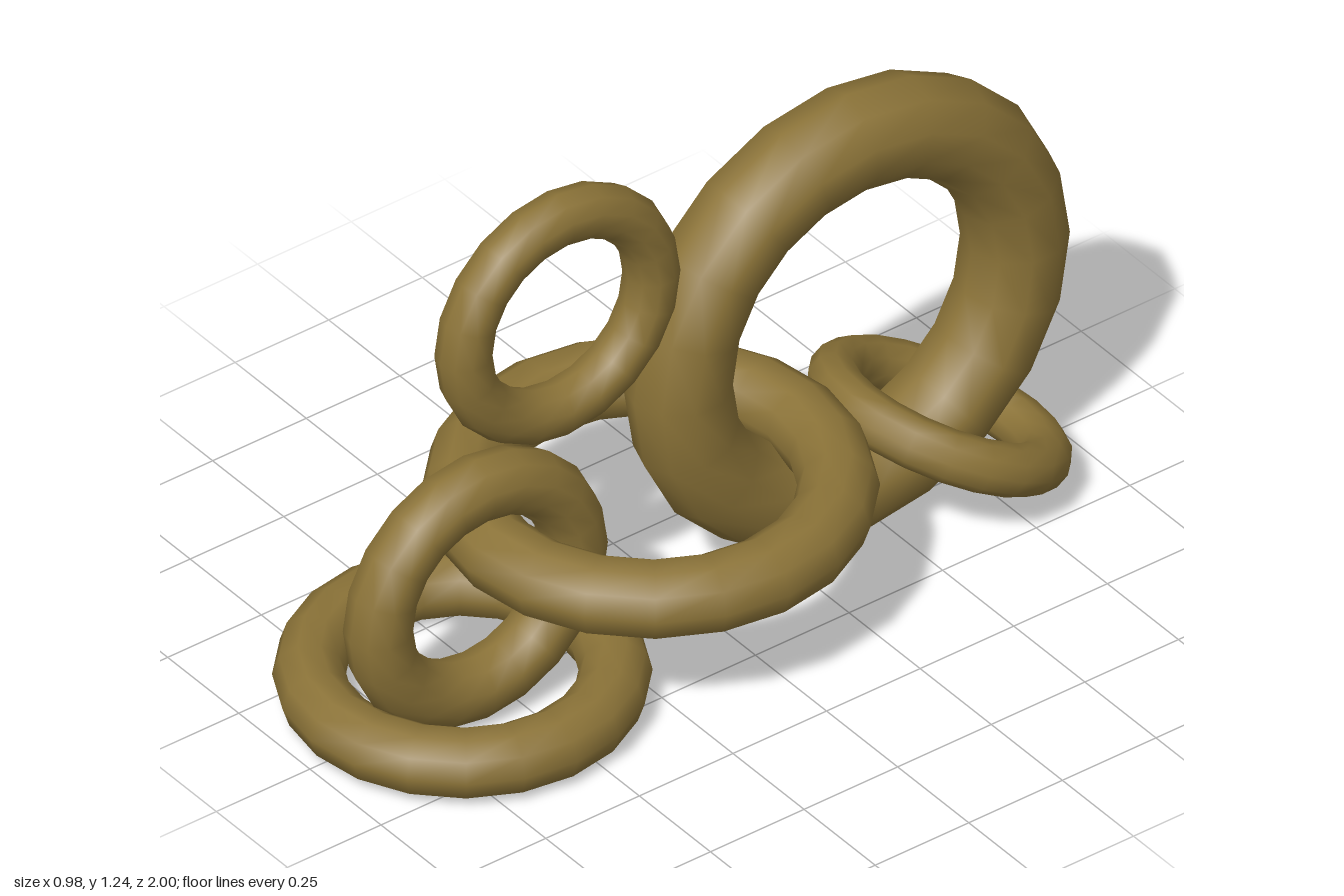
import * as THREE from 'three';

export function createModel() {
  const group = new THREE.Group();
  group.name = 'ringChain';
  const material = new THREE.MeshStandardMaterial({ color: 0x8b7338 });

  const flat = [Math.PI / 2, 0, 0];
  const upright = [0, Math.PI / 2, 0];
  const tilted = [Math.PI / 2 - THREE.MathUtils.degToRad(28), 0, 0];

  // name, ring radius, tube radius, centre, rotation
  const rings = [
    ['baseRing', 0.326, 0.079, [0, 0.083, 0.593], flat],
    ['lowerUprightRing', 0.26, 0.075, [0.055, 0.344, 0.6], upright],
    ['upperUprightRing', 0.251, 0.062, [0.021, 0.939, 0.355], upright],
    ['middleFlatRing', 0.4, 0.0885, [0, 0.346, 0.09], flat],
    ['largeUprightRing', 0.45, 0.117, [0, 0.583, -0.433], upright],
    ['tiltedRing', 0.243, 0.059, [0, 0.187, -0.682], tilted],
  ];

  for (const [name, radius, tube, position, rotation] of rings) {
    const ring = new THREE.Mesh(new THREE.TorusGeometry(radius, tube, 10, 20), material);
    ring.name = name;
    ring.position.set(...position);
    ring.rotation.set(...rotation);
    group.add(ring);
  }
  return group;
}
